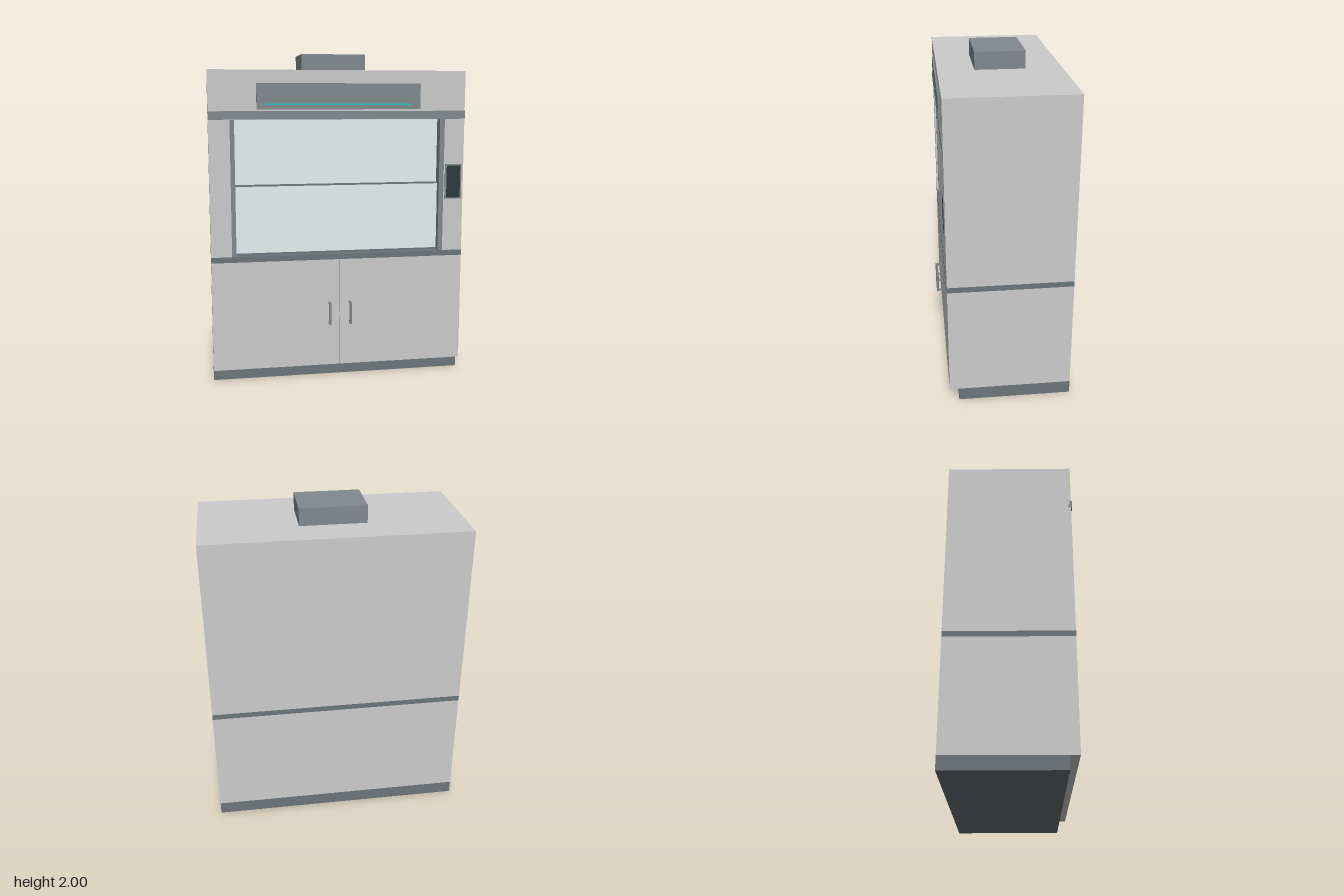
import * as THREE from 'three';

const mat = (color) => new THREE.MeshStandardMaterial({ color });

export function createModel() {
  const root = new THREE.Group();
  const body = mat(0xcccccc), steel = mat(0x808a8f), dark = mat(0x6c757a);
  const glass = mat(0xe6eeef), cyan = mat(0x22c4cc), black = mat(0x2c3a3a);

  // Box given by its limits on each axis
  const box = (name, m, x0, x1, y0, y1, z0, z1, parent = root) => {
    const mesh = new THREE.Mesh(new THREE.BoxGeometry(x1 - x0, y1 - y0, z1 - z0), m);
    mesh.position.set((x0 + x1) / 2, (y0 + y1) / 2, (z0 + z1) / 2);
    mesh.name = name;
    parent.add(mesh);
    return mesh;
  };
  // Same box on both sides of the centre plane
  const pair = (name, m, x0, x1, ...rest) => {
    box(name + 'Left', m, x0, x1, ...rest);
    box(name + 'Right', m, -x1, -x0, ...rest);
  };

  const W = 0.78, back = -0.39, front = 0.347;

  // Base cabinet with two doors
  box('plinth', dark, -W, W, 0, 0.08, back, 0.29);
  box('baseCabinet', body, -W, W, 0.08, 0.752, back, 0.33);
  pair('door', body, 0.002, W, 0.08, 0.752, 0.33, front);
  box('worktop', dark, -W, W, 0.752, 0.786, back, front + 0.002);

  // Hood chamber
  pair('sideWall', body, 0.655, W, 0.786, 1.605, back, front);
  box('backWall', body, -0.655, 0.655, 0.786, 1.605, back, -0.35);
  box('upperHousing', body, -W, W, 1.605, 1.895, back, front);
  box('exhaustCollar', steel, -0.2, 0.2, 1.895, 2, -0.17, 0.13);

  // Sash tracks and two sliding panes, the upper one set further back
  pair('sashTrack', steel, 0.628, 0.655, 0.786, 1.605, 0.25, 0.337);
  box('lowerPane', glass, -0.628, 0.628, 0.796, 1.206, 0.29, 0.3);
  box('upperPane', glass, -0.628, 0.628, 1.2, 1.605, 0.27, 0.28);
  box('middleRail', dark, -0.628, 0.628, 1.205, 1.214, 0.27, 0.305);
  box('bottomRail', dark, -0.628, 0.628, 0.786, 0.797, 0.285, 0.305);

  // Header trim, lamp panel and control panel
  box('headerTrim', steel, -W, W, 1.606, 1.655, 0.33, 0.353);
  box('lampPanel', steel, -0.497, 0.495, 1.665, 1.818, 0.34, 0.357);
  box('lightStrip', cyan, -0.445, 0.44, 1.691, 1.699, 0.35, 0.3585);
  box('controlPanel', steel, 0.662, 0.768, 1.112, 1.328, 0.34, 0.353);
  box('controlScreen', black, 0.672, 0.759, 1.12, 1.318, 0.345, 0.3545);

  // Door handles: an upright bar on two stubs
  for (const side of [-1, 1]) {
    const handle = new THREE.Group();
    handle.name = side > 0 ? 'handleLeft' : 'handleRight';
    handle.position.set(side * 0.065, 0.417, 0);
    const bar = new THREE.Mesh(new THREE.CylinderGeometry(0.008, 0.008, 0.138, 16), steel);
    bar.position.z = 0.382;
    bar.name = 'handleBar';
    handle.add(bar);
    for (const end of [-1, 1]) {
      const y = end * 0.062;
      box('handleStub', steel, -0.005, 0.005, y - 0.006, y + 0.006, 0.34, 0.382, handle);
    }
    root.add(handle);
  }
  return root;
}
